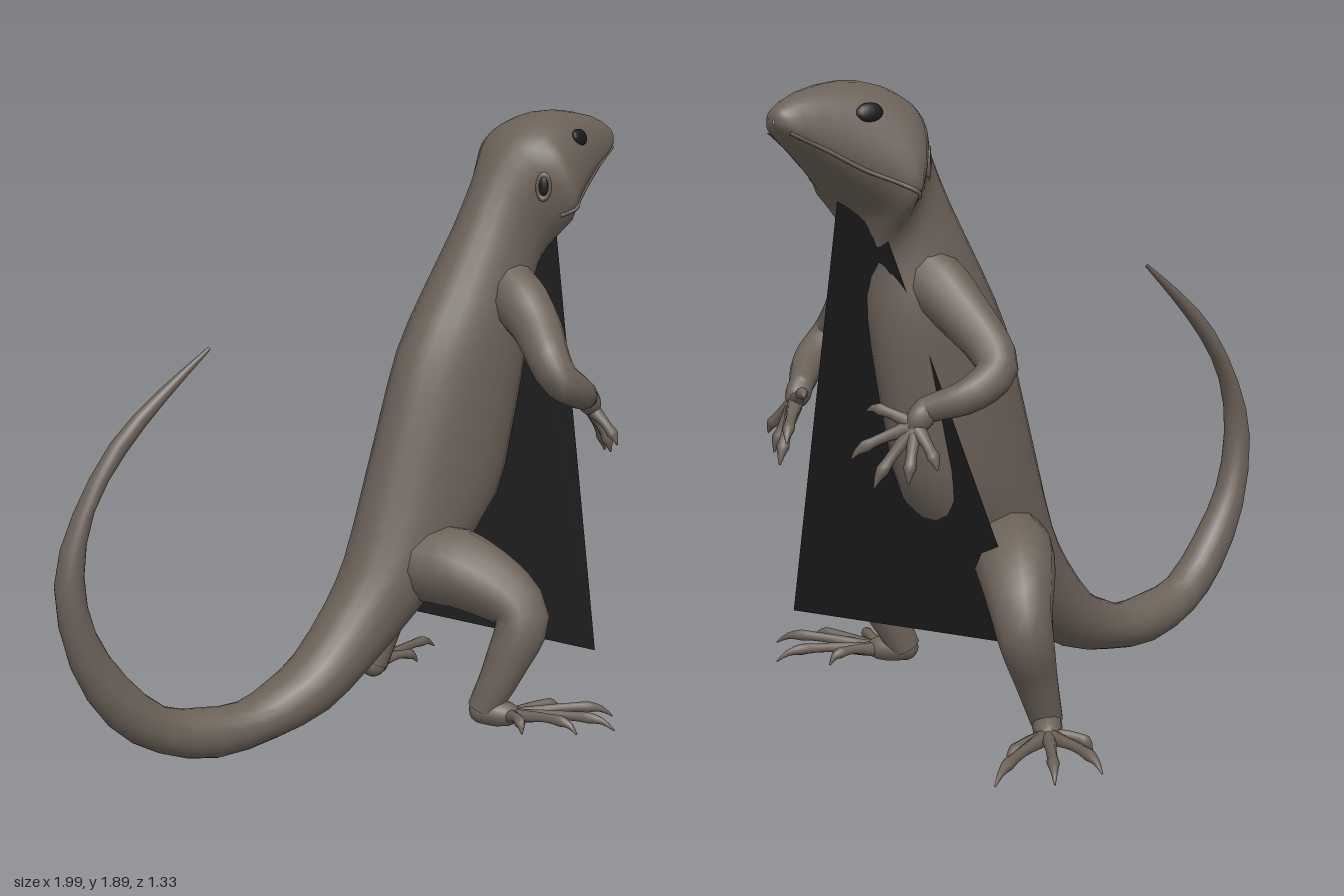
import * as THREE from 'three';

const skin = new THREE.MeshStandardMaterial({ color: 0x6b6158 });
skin.name = 'grey brown skin';
const dark = new THREE.MeshStandardMaterial({ color: 0x1b1b1b, side: THREE.DoubleSide });
dark.name = 'near black';

const V = (x, y, z) => new THREE.Vector3(x, y, z);

function add(parent, name, geometry, material = skin) {
  const mesh = new THREE.Mesh(geometry, material);
  mesh.name = name;
  parent.add(mesh);
  return mesh;
}

// Skins closed rings of equal length into one smooth surface
function skinRings(rings) {
  const n = rings[0].length, index = [];
  for (let i = 0; i < rings.length - 1; i++) {
    for (let j = 0; j < n; j++) {
      const a = i * n + j, b = i * n + (j + 1) % n;
      index.push(a, a + n, b, b, a + n, b + n);
    }
  }
  const g = new THREE.BufferGeometry().setFromPoints(rings.flat());
  g.setIndex(index);
  g.computeVertexNormals();
  return g;
}

// Round tapered limb through points, radii spread evenly along its length
function limb(points, radii, steps = 14, sides = 12) {
  const curve = new THREE.CatmullRomCurve3(points);
  const frames = curve.computeFrenetFrames(steps);
  const rings = [];
  for (let i = 0; i <= steps; i++) {
    const f = i / steps * (radii.length - 1), k = Math.min(Math.floor(f), radii.length - 2);
    const r = THREE.MathUtils.lerp(radii[k], radii[k + 1], f - k);
    const c = curve.getPointAt(i / steps);
    rings.push(Array.from({ length: sides }, (_, j) => {
      const a = j / sides * Math.PI * 2;
      return c.clone().addScaledVector(frames.normals[i], Math.cos(a) * r)
        .addScaledVector(frames.binormals[i], -Math.sin(a) * r);
    }));
  }
  return skinRings(rings);
}

// Head and torso stations from the nose: back x, y, belly x, y, centre z, half width
const torso = [
  [0.995, 1.82, 0.995, 1.81, 0, 0.004],
  [0.985, 1.85, 0.975, 1.775, 0, 0.045],
  [0.90, 1.89, 0.88, 1.70, 0, 0.085],
  [0.76, 1.912, 0.80, 1.635, 0, 0.135],
  [0.66, 1.90, 0.735, 1.585, 0, 0.18],
  [0.585, 1.865, 0.705, 1.55, 0, 0.205],
  [0.53, 1.82, 0.69, 1.51, 0, 0.17],
  [0.47, 1.72, 0.675, 1.45, 0, 0.122],
  [0.40, 1.57, 0.665, 1.38, -0.01, 0.125],
  [0.30, 1.38, 0.662, 1.25, -0.025, 0.148],
  [0.20, 1.20, 0.635, 1.08, -0.028, 0.155],
  [0.13, 0.98, 0.597, 0.90, -0.03, 0.158],
  [0.07, 0.78, 0.545, 0.72, -0.032, 0.158],
  [0.00, 0.56, 0.38, 0.54, -0.03, 0.148],
];
const tail = [
  [-0.08, 0.43, 0.23, 0.39, -0.03, 0.125],
  [-0.20, 0.29, 0.05, 0.24, -0.03, 0.11],
  [-0.30, 0.235, -0.11, 0.125, -0.03, 0.10],
  [-0.40, 0.195, -0.30, 0.07, -0.035, 0.085],
  [-0.53, 0.205, -0.50, 0.045, -0.045, 0.075],
  [-0.66, 0.235, -0.69, 0.10, -0.055, 0.068],
  [-0.79, 0.36, -0.84, 0.21, -0.06, 0.062],
  [-0.88, 0.51, -0.95, 0.40, -0.07, 0.052],
  [-0.91, 0.68, -0.995, 0.65, -0.07, 0.044],
  [-0.87, 0.86, -0.93, 0.85, -0.07, 0.034],
  [-0.77, 1.01, -0.81, 1.045, -0.06, 0.026],
  [-0.64, 1.15, -0.66, 1.18, -0.045, 0.018],
  [-0.50, 1.28, -0.505, 1.29, -0.03, 0.005],
];

// Returns a function giving the skin point at a station and an angle from the back
function bodySurface() {
  const all = [...torso, ...tail];
  const spline = k => new THREE.CatmullRomCurve3(all.map(s => V(s[k], s[k + 1], 0)), false, 'catmullrom');
  const back = spline(0), belly = spline(2), side = spline(4);
  const at = (station, angle) => {
    const t = station / (all.length - 1);
    const b = back.getPoint(t), f = belly.getPoint(t), s = side.getPoint(t);
    const head = THREE.MathUtils.clamp(1 - (station - 6) / 2, 0, 1); // boxier, with wide jowls
    const power = v => Math.sign(v) * Math.abs(v) ** (1 - 0.18 * head);
    const up = power(Math.cos(angle));
    const p = b.clone().add(f).multiplyScalar(0.5).addScaledVector(b.sub(f), up / 2);
    p.z = s.x + power(Math.sin(angle)) * s.y * (1 - 0.2 * head * up);
    return p;
  };
  return { at, count: all.length };
}

// Palm or sole with clawed digits reaching the given tips
function paw(parent, name, wrist, tips, width, lift) {
  const g = new THREE.Group();
  g.name = name;
  const centre = tips.reduce((s, t) => s.add(t), V(0, 0, 0)).divideScalar(tips.length);
  const palm = wrist.clone().lerp(centre, 0.4);
  add(g, 'joint', new THREE.SphereGeometry(width * 0.95, 14, 10)).position.copy(wrist);
  add(g, 'palm', limb([wrist, wrist.clone().lerp(palm, 0.5), palm.clone().lerp(centre, 0.12)],
    [width * 0.95, width, width * 0.8, 0.002], 8));
  tips.forEach(tip => {
    const base = wrist.clone().lerp(palm, 0.7).lerp(tip, 0.1);
    const mid = base.clone().lerp(tip, 0.5).add(V(0, lift, 0));
    const knuckle = base.clone().lerp(tip, 0.86).add(V(0, lift, 0));
    add(g, 'digit', limb([base, mid, knuckle, tip],
      [0.023, 0.02, 0.017, 0.015, 0.015, 0.018, 0.01, 0.002], 14, 8));
  });
  parent.add(g);
}

export function createModel() {
  const model = new THREE.Group();
  model.name = 'standing lizard';

  // Head, torso and tail in one skin
  const { at, count } = bodySurface();
  const rings = [];
  for (let i = 0; i <= (count - 1) * 2; i++) {
    rings.push(Array.from({ length: 24 }, (_, j) => at(i / 2, j / 24 * Math.PI * 2)));
  }
  add(model, 'body', skinRings(rings));

  // Face details on both sides
  for (const s of [1, -1]) {
    const eye = add(model, 'eye', new THREE.SphereGeometry(0.039, 16, 10), dark);
    eye.position.copy(at(3.05, s * 1.2));
    eye.rotation.set(s * -0.3, s * 0.3, 0);
    eye.scale.set(1, 0.68, 0.35);

    const ear = new THREE.Group();
    ear.name = 'ear';
    ear.position.copy(at(6.1, s * 1.4));
    ear.rotation.y = s * -0.75;
    add(ear, 'earHole', new THREE.SphereGeometry(0.024, 12, 8), dark).scale.set(0.6, 1.3, 0.3);
    add(ear, 'earRim', new THREE.TorusGeometry(0.026, 0.007, 6, 16)).scale.set(0.75, 1.4, 1);
    model.add(ear);

    const lip = [2.2, 2.13, 2.2, 2.13, 2.05, 1.9].map((a, i) => at(i + 1, s * a));
    add(model, 'lip', new THREE.TubeGeometry(new THREE.CatmullRomCurve3(lip), 24, 0.006, 6));
  }

  // Arms, elbows out and hands forward
  const armRadii = [0.085, 0.09, 0.078, 0.068, 0.061, 0.053, 0.045, 0.036];
  const fingers = [[0.75, 0.9, 0.34], [0.79, 0.86, 0.27], [0.84, 0.845, 0.19], [0.865, 0.92, 0.13], [0.8, 1.04, 0.125]];
  for (const [s, name, elbowX] of [[1, 'left', 0.485], [-1, 'right', 0.53]]) {
    const wrist = V(0.7, 1.045, s * 0.25);
    add(model, name + 'Arm', limb([V(0.53, 1.39, s * 0.06), V(0.52, 1.29, s * 0.2),
      V(elbowX, 1.15, s * 0.35), V(elbowX + 0.09, 1.09, s * 0.345), wrist], armRadii, 18));
    paw(model, name + 'Hand', wrist, fingers.map(f => V(f[0], f[1], s * f[2])), 0.038, 0.012);
  }

  // Legs, the left foot a little higher and further back
  const legRadii = [0.125, 0.125, 0.108, 0.087, 0.074, 0.06, 0.048];
  const leftAnkle = V(0.245, 0.135, 0.31), rightAnkle = V(0.32, 0.085, -0.345);
  add(model, 'leftLeg', limb([V(0.22, 0.55, 0.04), V(0.285, 0.535, 0.18), V(0.36, 0.43, 0.35),
    V(0.305, 0.28, 0.345), leftAnkle], legRadii, 18));
  add(model, 'rightLeg', limb([V(0.23, 0.54, -0.1), V(0.33, 0.53, -0.23), V(0.43, 0.4, -0.355),
    V(0.37, 0.22, -0.35), rightAnkle], legRadii, 18));
  paw(model, 'leftFoot', leftAnkle, [V(0.24, 0.115, 0.5), V(0.36, 0.12, 0.61), V(0.465, 0.125, 0.66),
    V(0.565, 0.115, 0.545), V(0.47, 0.11, 0.41)], 0.044, 0.024);
  paw(model, 'rightFoot', rightAnkle, [V(0.3, 0.02, -0.5), V(0.45, 0.045, -0.665), V(0.585, 0.04, -0.61),
    V(0.695, 0.035, -0.49), V(0.55, 0.03, -0.4)], 0.044, 0.024);

  // Flat dark panel hanging from the throat, slightly turned
  const panel = new THREE.BufferGeometry().setFromPoints([
    V(0.57, 0.3, 0.455), V(0.335, 0.3, -0.31), V(0.7, 1.6, -0.055), V(0.73, 1.6, 0.05)]);
  panel.setIndex([0, 1, 2, 0, 2, 3]);
  panel.computeVertexNormals();
  add(model, 'chestPanel', panel, dark);

  return model;
}
